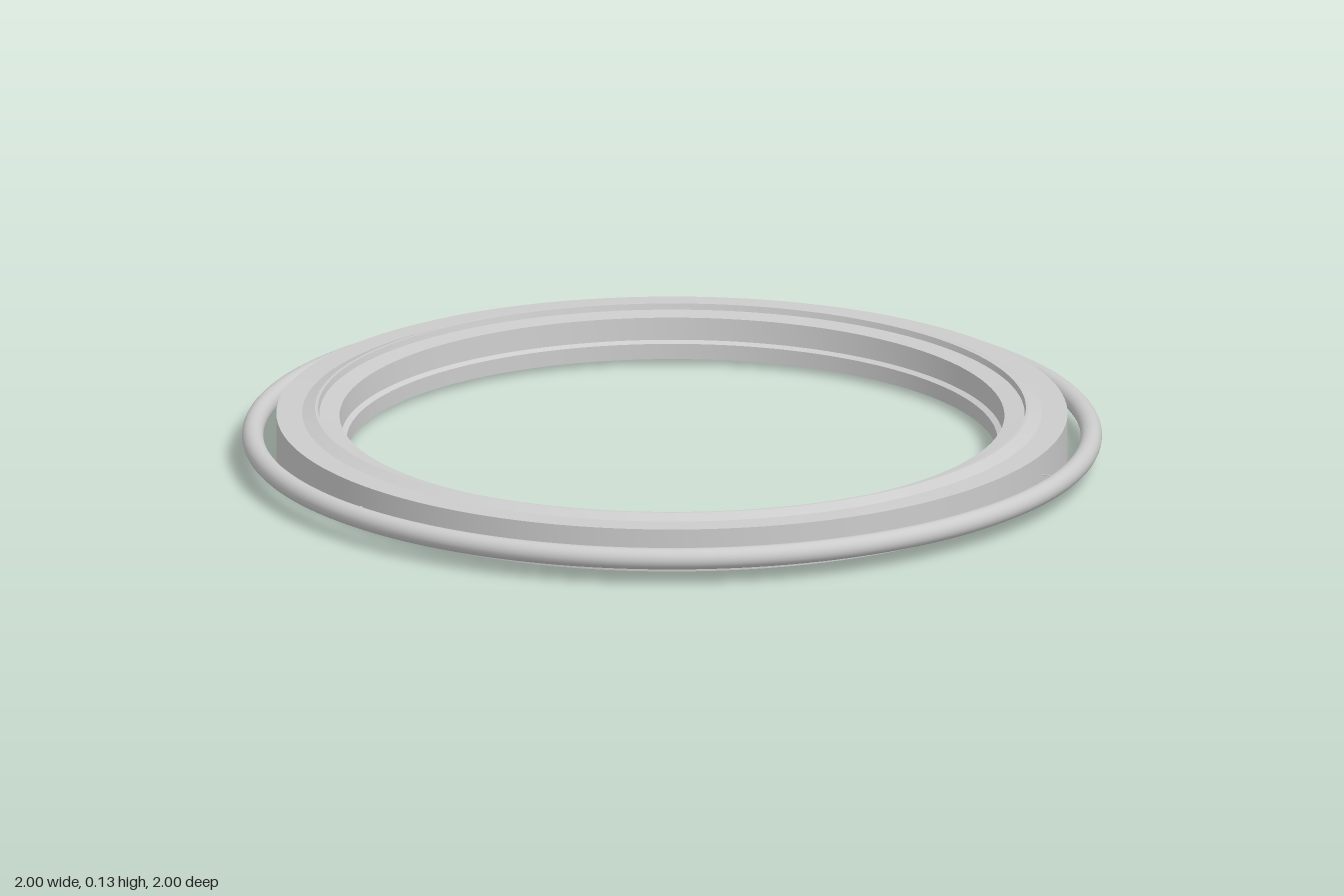
import * as THREE from 'three';
import { toCreasedNormals } from 'three/addons/utils/BufferGeometryUtils.js';

const MID = 0.064; // mid-height of the whole ring

export function createModel() {
  const group = new THREE.Group();
  const material = new THREE.MeshStandardMaterial({ color: 0xcccccc, side: THREE.DoubleSide });
  const add = (name, geometry) => {
    const mesh = new THREE.Mesh(geometry, material);
    mesh.name = name;
    group.add(mesh);
    return mesh;
  };

  // Flat main band: raised lips top and bottom, shallow step inside, ledge on the inner wall
  const profile = [
    [0.92, 0.013], [0.92, 0.115], [0.86, 0.116], [0.83, 0.128], [0.823, 0.128],
    [0.82, 0.114], [0.773, 0.109], [0.77, 0.056], [0.757, 0.05], [0.757, 0.013],
    [0.82, 0.011], [0.823, 0], [0.83, 0], [0.86, 0.012], [0.92, 0.013],
  ].map(([r, y]) => new THREE.Vector2(r, y));
  add('mainBand', toCreasedNormals(new THREE.LatheGeometry(profile, 160), 0.2));

  // Round outer hoop
  const hoop = add('outerHoop', new THREE.TorusGeometry(0.975, 0.025, 20, 160));
  hoop.rotation.x = Math.PI / 2;
  hoop.position.y = MID - 0.003;

  // Hair-thin pins bridging the gap between band and hoop
  for (const degrees of [41, 162, 221, 342]) {
    const angle = THREE.MathUtils.degToRad(degrees);
    const pin = add('hoopPin', new THREE.CylinderGeometry(0.0015, 0.0015, 0.05, 8));
    pin.rotation.set(0, -angle, Math.PI / 2);
    pin.position.set(0.937 * Math.cos(angle), MID, 0.937 * Math.sin(angle));
  }
  return group;
}
